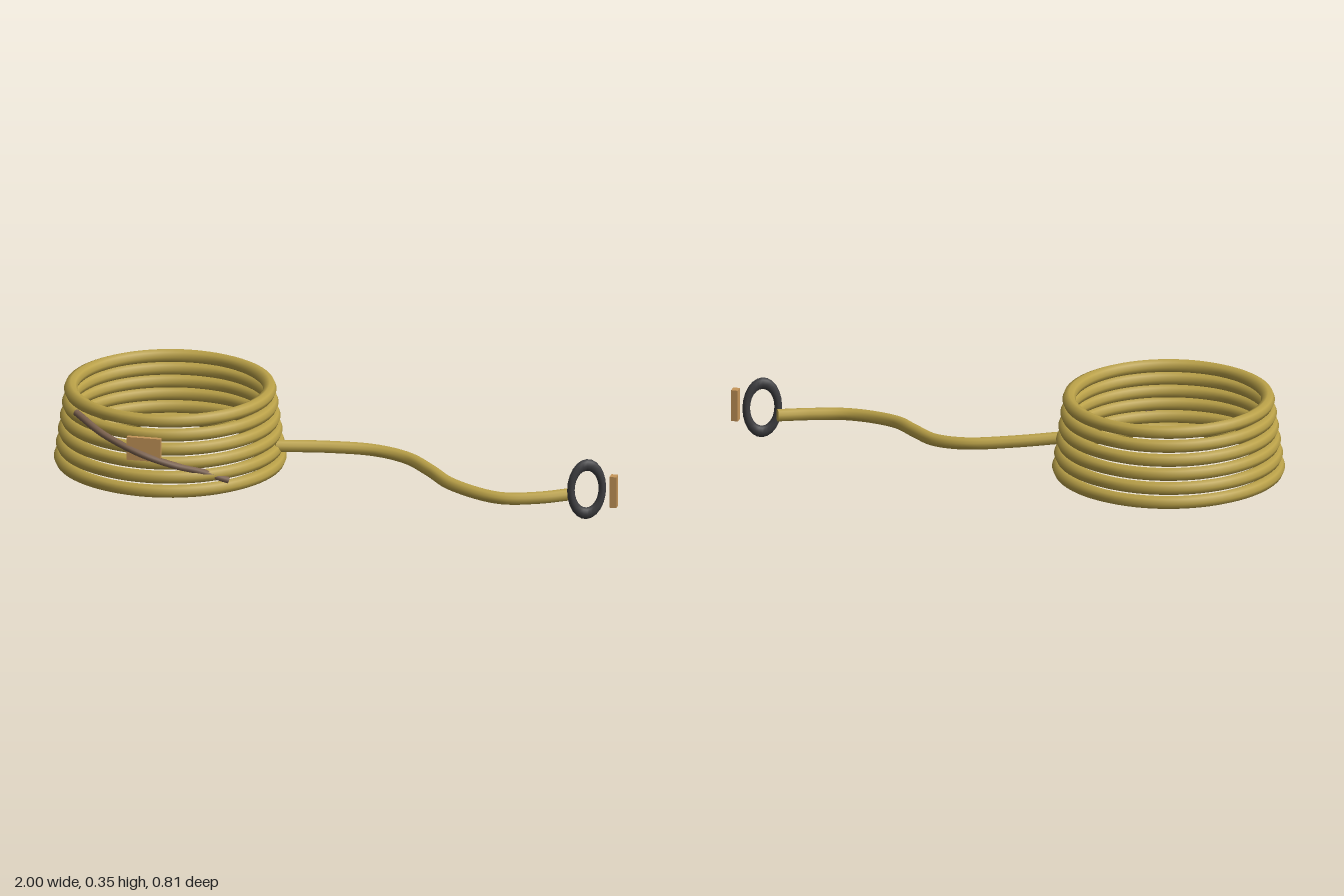
import * as THREE from 'three';

const mat = (name, color) => {
  const m = new THREE.MeshStandardMaterial({ color });
  m.name = name;
  return m;
};

export function createModel() {
  const group = new THREE.Group();
  const rope = mat('ochre rope', 0xbaa148);
  const iron = mat('dark iron', 0x3e3e41);
  const leather = mat('brown leather', 0x7c624f);
  const wood = mat('tan wood', 0xc6965a);

  const add = (name, geometry, material, x = 0, y = 0, z = 0) => {
    const mesh = new THREE.Mesh(geometry, material);
    mesh.name = name;
    mesh.position.set(x, y, z);
    group.add(mesh);
    return mesh;
  };
  const curve = (points) =>
    new THREE.CatmullRomCurve3(points.map((p) => new THREE.Vector3(...p)));

  // tube along a path, closed by a disc at each end
  const cappedTube = (name, path, segments, radius, sides, material) => {
    add(name, new THREE.TubeGeometry(path, segments, radius, sides), material);
    for (const t of [0, 1]) {
      const p = path.getPointAt(t);
      const out = path.getTangentAt(t).multiplyScalar(t ? 1 : -1);
      const cap = add(name + 'End', new THREE.CircleGeometry(radius, sides), material, p.x, p.y, p.z);
      cap.quaternion.setFromUnitVectors(new THREE.Vector3(0, 0, 1), out);
    }
  };

  // stacked coil, each turn a little narrower than the one below
  for (let i = 0; i < 6; i++) {
    const turn = new THREE.TorusGeometry(0.377 - i * 0.007, 0.0235, 8, 72);
    turn.rotateX(Math.PI / 2);
    add('coilTurn' + (i + 1), turn, rope, -0.6, 0.088 + i * 0.0487, -0.002);
  }

  // loose end of the rope, winding away from the coil
  cappedTube('ropeTail', curve([
    [-0.23, 0.152, 0], [-0.06, 0.14, -0.065], [0.1, 0.128, -0.1], [0.22, 0.119, -0.072],
    [0.32, 0.112, 0.015], [0.42, 0.102, 0.112], [0.6, 0.088, 0.174],
    [0.73, 0.087, 0.14], [0.835, 0.09, 0.085],
  ]), 64, 0.022, 10, rope);

  // oval iron ring at the rope's end, with the toggle beyond it
  const ring = add('endRing', new THREE.TorusGeometry(0.056, 0.0135, 8, 24), iron, 0.89, 0.113, 0.086);
  ring.rotation.y = 0.49;
  ring.scale.y = 1.57;
  add('toggle', new THREE.BoxGeometry(0.024, 0.112, 0.03), wood, 0.986, 0.113, 0.086);

  // tag on the coil, held by a slanting strap
  add('tag', new THREE.BoxGeometry(0.12, 0.083, 0.016), wood, -0.602, 0.2415, 0.383);
  cappedTube('strap', curve([
    [-0.87, 0.313, 0.265], [-0.75, 0.272, 0.355], [-0.61, 0.225, 0.393],
    [-0.5, 0.186, 0.372], [-0.43, 0.161, 0.335], [-0.33, 0.115, 0.28],
  ]), 32, 0.012, 8, leather);

  return group;
}
